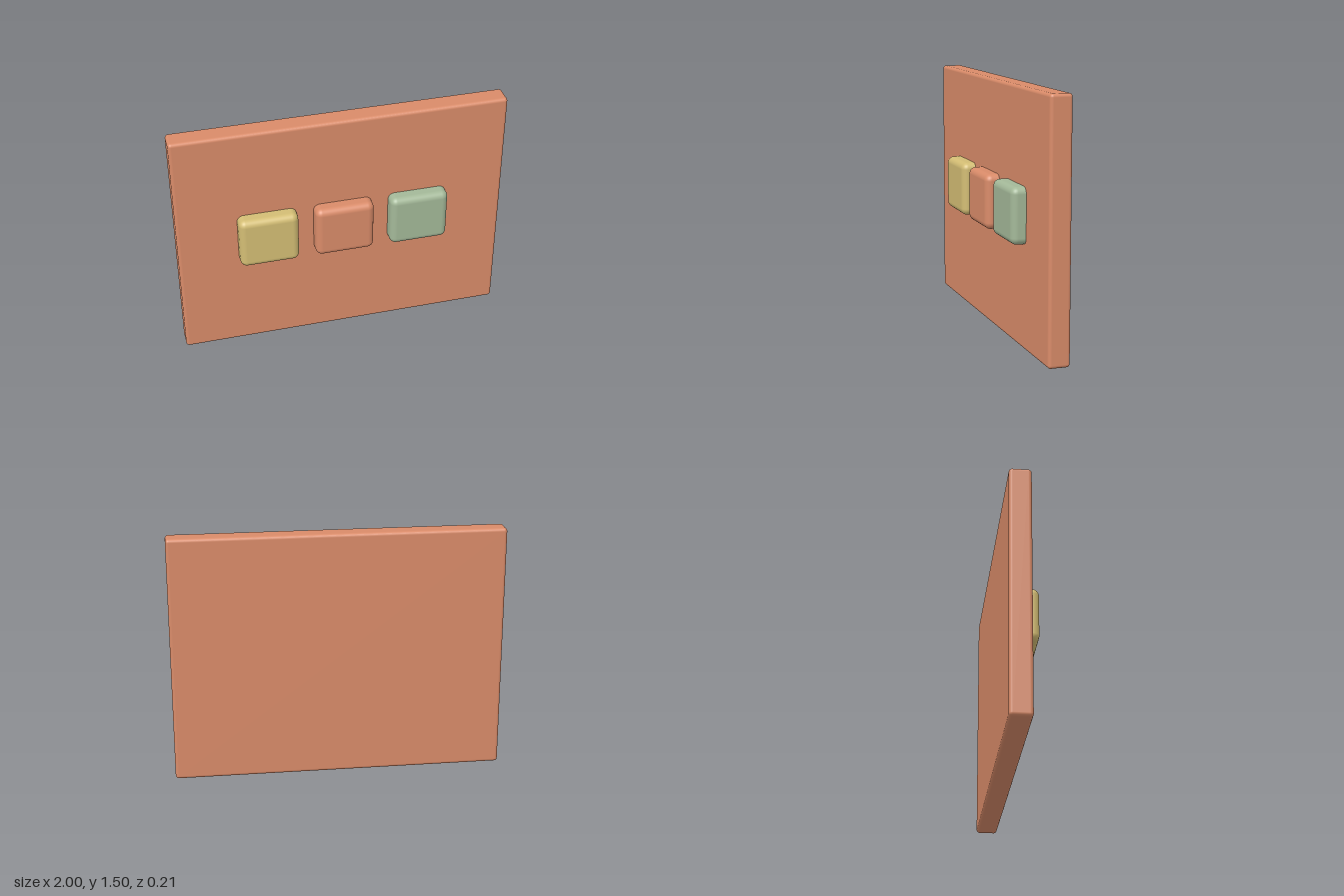
import * as THREE from 'three';
import { RoundedBoxGeometry } from 'three/addons/geometries/RoundedBoxGeometry.js';

const CORAL = 0xd98b69, YELLOW = 0xd3bd74, GREEN = 0xa3b898;

function roundedBlock(name, size, radius, position, color) {
  const mesh = new THREE.Mesh(
    new RoundedBoxGeometry(...size, 4, radius),
    new THREE.MeshStandardMaterial({ color })
  );
  mesh.name = name;
  mesh.position.set(...position);
  return mesh;
}

export function createModel() {
  const group = new THREE.Group();
  group.name = 'buttonPanel';

  // Upright panel with softly rounded edges
  group.add(roundedBlock('panel', [2, 1.5, 0.13], 0.02, [0, 0.75, -0.042], CORAL));

  // Row of three raised buttons, their backs sunk into the panel
  const buttons = [['rightButton', YELLOW], ['middleButton', CORAL], ['leftButton', GREEN]];
  buttons.forEach(([name, color], i) => {
    group.add(roundedBlock(name, [0.357, 0.33, 0.13], 0.04, [(i - 1) * 0.46, 0.781, 0.042], color));
  });

  return group;
}
